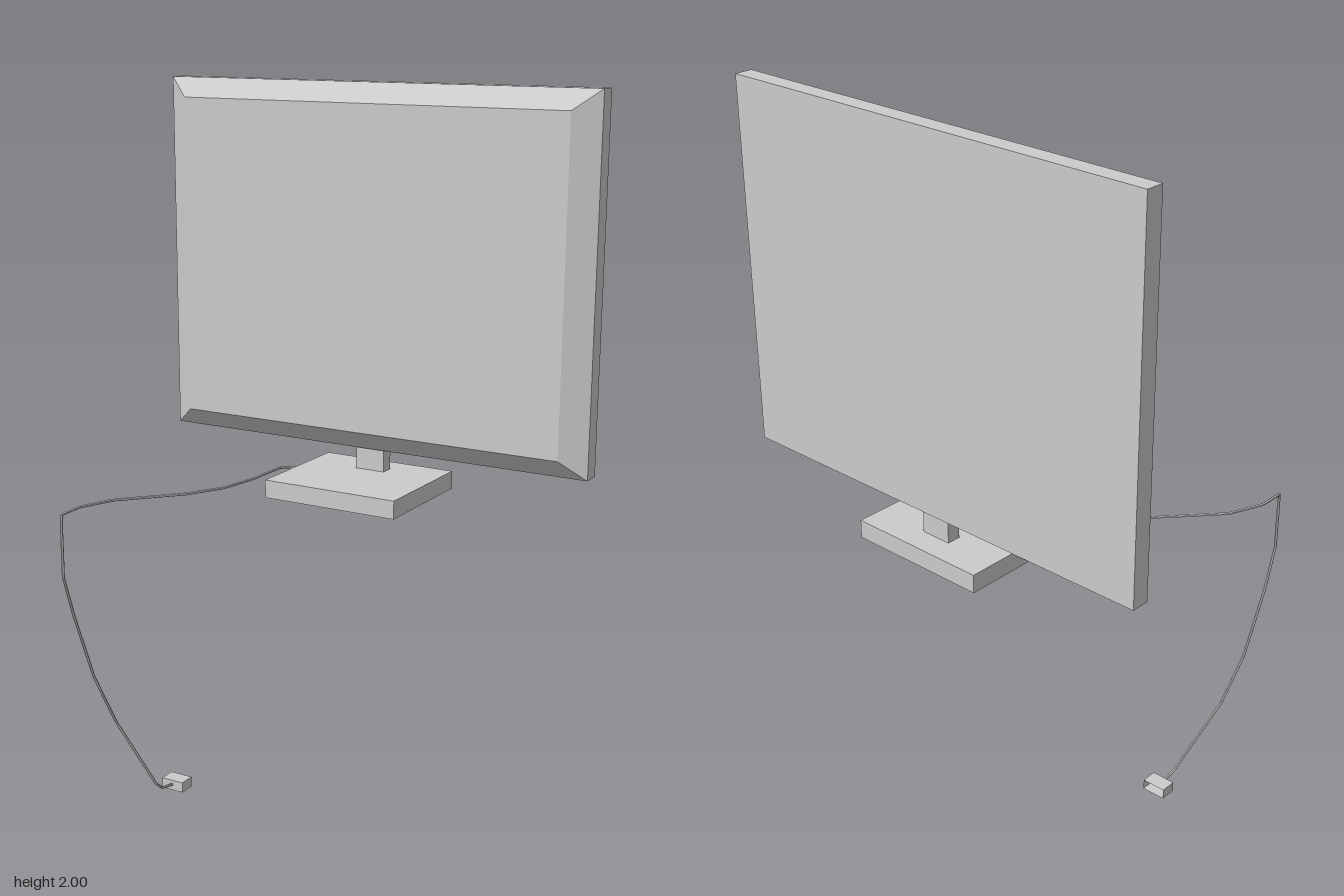
import * as THREE from 'three';

const grey = new THREE.MeshStandardMaterial({ color: 0xcccccc, flatShading: true });
const greyThin = new THREE.MeshStandardMaterial({ color: 0xcccccc, flatShading: true, side: THREE.DoubleSide });

function part(name, geometry, material, x = 0, y = 0, z = 0) {
  const mesh = new THREE.Mesh(geometry, material);
  mesh.name = name;
  mesh.position.set(x, y, z);
  return mesh;
}

// Box without one face (0..5 = +x, -x, +y, -y, +z, -z)
function openBox(w, h, d, openFace) {
  const g = new THREE.BoxGeometry(w, h, d);
  const index = Array.from(g.index.array);
  index.splice(openFace * 6, 6);
  g.setIndex(index);
  g.clearGroups();
  return g;
}

// Flat panel whose front edge is chamfered inwards
function panelGeometry(w, h, back, middle, front, inset) {
  const g = new THREE.BoxGeometry(w, h, 2, 1, 1, 2);
  const p = g.attributes.position;
  for (let i = 0; i < p.count; i++) {
    const x = p.getX(i), y = p.getY(i), z = p.getZ(i);
    const cut = z > 0.5 ? inset : [0, 0];
    p.setXYZ(i, x - Math.sign(x) * cut[0], y - Math.sign(y) * cut[1],
      z > 0.5 ? front : z < -0.5 ? back : middle);
  }
  g.computeVertexNormals();
  return g;
}

export function createModel() {
  const model = new THREE.Group();
  model.name = 'monitor';

  // Display and stand, turned very slightly about the vertical
  const display = new THREE.Group();
  display.name = 'display';
  display.rotation.y = -0.017;
  display.position.set(-0.002, 0, -0.328);
  display.add(
    part('screen', panelGeometry(1.33, 1.03, -0.049, 0.003, 0.047, [0.07, 0.055]), grey, 0, 1.485, 0),
    part('standNeck', new THREE.BoxGeometry(0.09, 0.095, 0.04), grey, -0.004, 0.9325, -0.022),
    part('standBase', openBox(0.412, 0.052, 0.355, 3), greyThin, 0, 0.88, 0.065),
  );
  model.add(display);

  // Cable: runs forward at base height, then hangs down to the plug
  const points = [
    [-0.2, 0.893, -0.285], [-0.25, 0.893, -0.281], [-0.268, 0.893, -0.262],
    [-0.272, 0.893, -0.125], [-0.295, 0.893, 0], [-0.35, 0.893, 0.1],
    [-0.49, 0.893, 0.25], [-0.531, 0.893, 0.35], [-0.531, 0.892, 0.43],
    [-0.526, 0.875, 0.438], [-0.525, 0.72, 0.44], [-0.525, 0.6, 0.402],
    [-0.51, 0.4, 0.341], [-0.48, 0.25, 0.285], [-0.402, 0.05, 0.212],
    [-0.398, 0.027, 0.187], [-0.398, 0.016, 0.13],
  ].map((p) => new THREE.Vector3(...p));
  const path = new THREE.CurvePath();
  for (let i = 1; i < points.length; i++) path.add(new THREE.LineCurve3(points[i - 1], points[i]));
  model.add(part('cable', new THREE.TubeGeometry(path, 180, 0.004, 6), greyThin));

  // Plug at the end of the cable, hollow towards the back
  model.add(part('plug', openBox(0.07, 0.03, 0.047, 5), greyThin, -0.397, 0.015, 0.114));

  return model;
}
